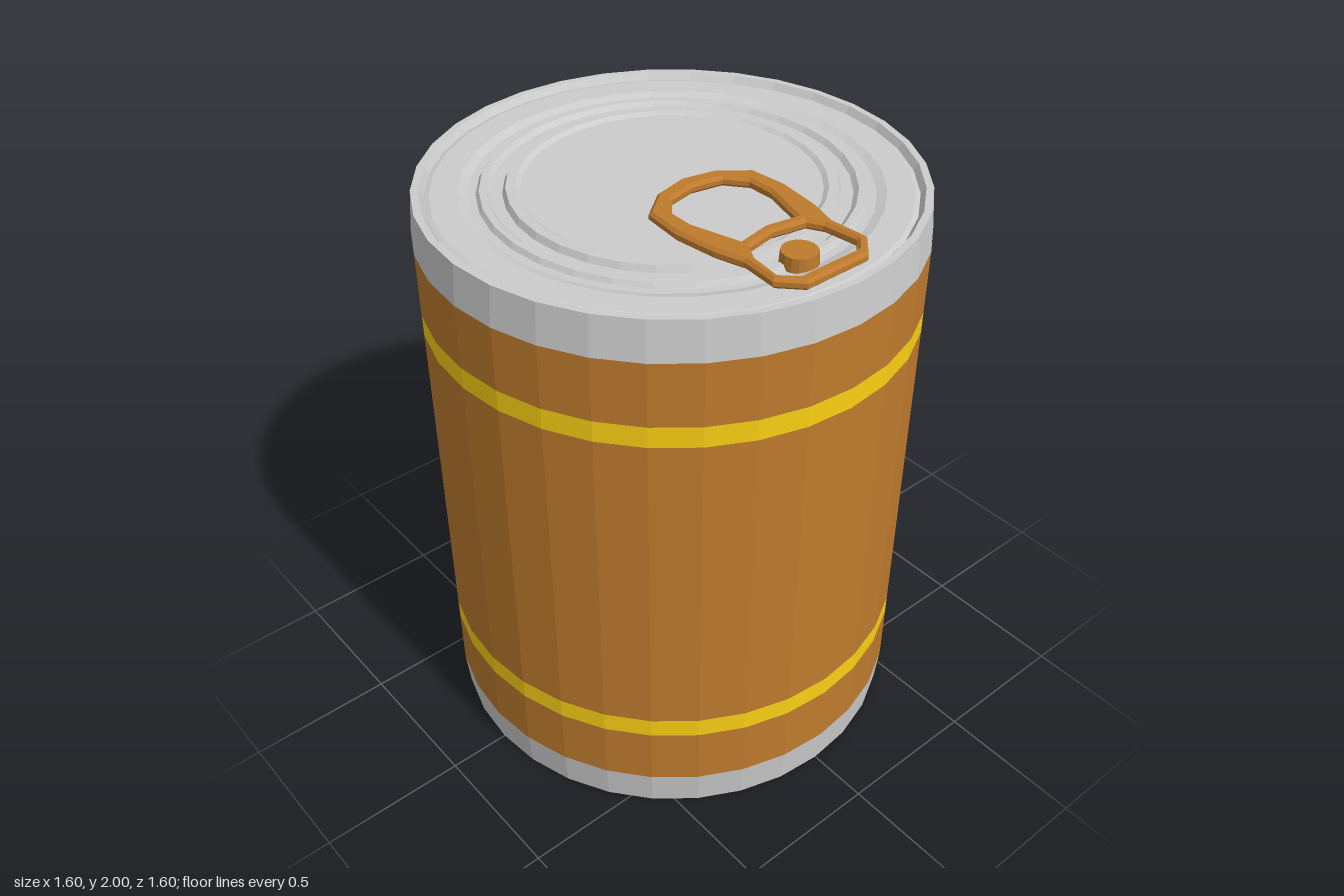
import * as THREE from 'three';

const SIDES = 32, COLS = 64, ROWS = 24, R = 0.8, Y0 = 0.13, Y1 = 1.84;
const mat = (color) => new THREE.MeshStandardMaterial({ color, flatShading: true });
const MATS = {
  metal: mat(0xcccccc),
  brown: mat(0xbe7a2d),
  gold: mat(0xfad014),
  white: mat(0xf0f0f0),
};

// Label patches: [first column, end column] for each label row
const LABEL_COLS = 20, LABEL_TOP = 4, LABEL_END = 20;
const BROWN_PATCH = {
  1: [9, 12], 2: [7, 15], 3: [5, 15], 4: [5, 15], 5: [5, 15], 6: [6, 16], 7: [7, 16],
  8: [7, 16], 9: [9, 15], 10: [9, 14], 11: [11, 14], 12: [12, 14],
};
const GREY_PATCH = {
  8: [6, 7], 9: [6, 9], 10: [5, 9], 11: [4, 9], 12: [4, 8], 13: [4, 7], 14: [5, 7],
};
const within = (patch, row, col) => patch[row] && col >= patch[row][0] && col < patch[row][1];

// Colour of one cell of the wrapper
function cellColor(row, col) {
  if (row === LABEL_TOP - 1 || row === LABEL_END) return 'gold';
  if (row < LABEL_TOP || row > LABEL_END || col >= LABEL_COLS) return 'brown';
  const r = row - LABEL_TOP;
  if (within(BROWN_PATCH, r, col)) return 'brown';
  return within(GREY_PATCH, r, col) ? 'metal' : 'white';
}

// Point on the faceted wall; odd columns fall halfway along a facet
function wallPoint(col, row) {
  const a = Math.PI / 4 - (col / COLS) * Math.PI * 2;
  const r = col % 2 ? R * Math.cos(Math.PI / SIDES) : R;
  return [r * Math.cos(a), Y1 - (row / ROWS) * (Y1 - Y0), r * Math.sin(a)];
}

// Wrapper: one mesh for each colour
function makeWrapper() {
  const wrapper = new THREE.Group();
  wrapper.name = 'wrapper';
  const cells = { brown: [], gold: [], white: [], metal: [] };
  for (let row = 0; row < ROWS; row++) {
    for (let col = 0; col < COLS; col++) {
      const a = wallPoint(col, row + 1), b = wallPoint(col + 1, row + 1);
      const c = wallPoint(col + 1, row), d = wallPoint(col, row);
      cells[cellColor(row, col)].push(...a, ...b, ...c, ...a, ...c, ...d);
    }
  }
  const names = { brown: 'brownWrapper', gold: 'goldBands', white: 'labelPanel', metal: 'greyPatch' };
  for (const key in cells) {
    const geo = new THREE.BufferGeometry();
    geo.setAttribute('position', new THREE.Float32BufferAttribute(cells[key], 3));
    geo.computeVertexNormals();
    const mesh = new THREE.Mesh(geo, MATS[key]);
    mesh.name = names[key];
    wrapper.add(mesh);
  }
  return wrapper;
}

function lathe(name, profile) {
  const points = profile.map(([x, y]) => new THREE.Vector2(x, y));
  const mesh = new THREE.Mesh(new THREE.LatheGeometry(points, SIDES), MATS.metal);
  mesh.name = name;
  return mesh;
}

// Symmetric outline from its right half, listed from back to front
function mirrored(half, PathType) {
  const left = half.filter(([x]) => x > 0).map(([x, y]) => [-x, y]).reverse();
  return new PathType([...half, ...left].map(([x, y]) => new THREE.Vector2(x, y)));
}

// Pull tab with finger hole, rivet hole and rivet
function makeTab() {
  const tab = new THREE.Group();
  tab.name = 'pullTab';
  const shape = mirrored([[0, 0.06], [0.11, 0.085], [0.205, 0.16], [0.218, 0.29], [0.2, 0.435],
    [0.172, 0.53], [0.182, 0.655], [0.115, 0.725]], THREE.Shape);
  shape.holes.push(
    mirrored([[0, 0.118], [0.1, 0.138], [0.15, 0.2], [0.152, 0.29], [0.107, 0.445], [0, 0.425]], THREE.Path),
    mirrored([[0, 0.465], [0.11, 0.485], [0.135, 0.53], [0.15, 0.645], [0.11, 0.685]], THREE.Path));
  const bevel = 0.01;
  const geo = new THREE.ExtrudeGeometry(shape, {
    depth: 0.015, bevelEnabled: true, bevelThickness: bevel, bevelSize: bevel,
    bevelOffset: -bevel, bevelSegments: 1,
  });
  geo.rotateX(Math.PI / 2);
  const ring = new THREE.Mesh(geo, MATS.brown);
  ring.name = 'tabRing';
  ring.position.y = 2 - bevel;

  const rivet = new THREE.Mesh(new THREE.CylinderGeometry(0.055, 0.058, 0.05, 16), MATS.brown);
  rivet.name = 'rivet';
  rivet.position.set(-0.008, 1.965, 0.58);
  tab.add(ring, rivet);
  tab.position.x = -0.018;
  return tab;
}

export function createModel() {
  const can = new THREE.Group();
  can.name = 'can';
  can.add(
    makeWrapper(),
    lathe('base', [[0, 0], [0.788, 0], [0.8, Y0]]),
    // Shoulder, rolled rim and stepped rings of the lid
    lathe('lid', [[0.8, Y1], [0.788, 1.972], [0.765, 1.972], [0.75, 1.95], [0.735, 1.955],
      [0.65, 1.955], [0.62, 1.945], [0.595, 1.945], [0.585, 1.96], [0.565, 1.96], [0.55, 1.945],
      [0.515, 1.945], [0.505, 1.965], [0.475, 1.965], [0.46, 1.955], [0, 1.955]]),
    makeTab());
  return can;
}
